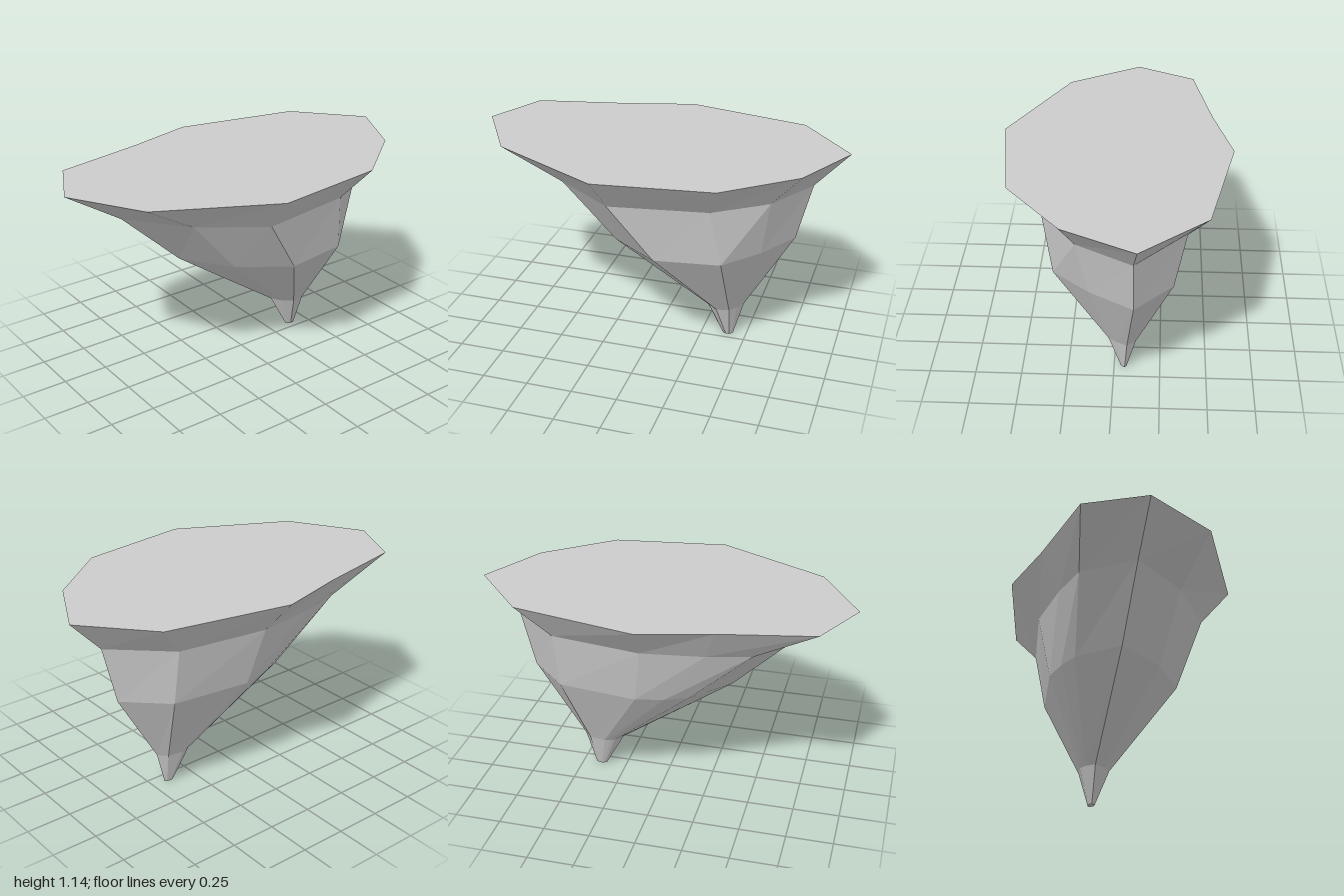
import * as THREE from 'three';

// Outlines as [x, z] corners, all running the same way round the rock
const rim = [[-0.13, -1], [0.24, -0.81], [0.53, -0.45], [0.61, 0.17], [0.30, 0.77],
  [-0.09, 1], [-0.41, 0.84], [-0.51, 0.35], [-0.61, -0.03], [-0.47, -0.70]];
const shoulder = [[-0.11, -0.82], [0.18, -0.65], [0.37, -0.38], [0.45, 0.14], [0.23, 0.46],
  [-0.075, 0.70], [-0.34, 0.51], [-0.40, 0.28], [-0.445, -0.05], [-0.37, -0.54]];
const waist = [[-0.11, -0.74], [0.12, -0.60], [0.315, -0.43], [0.365, -0.08], [0.19, 0.18],
  [-0.07, 0.36], [-0.28, 0.17], [-0.33, 0.05], [-0.365, -0.10], [-0.31, -0.53]];

// The lower outlines shrink the waist towards the off-centre tip
const shrink = (sx, dx, sz, dz) => waist.map(([x, z]) => [x * sx + dx, z * sz + dz]);
const neck = shrink(0.233, -0.045, 0.2, -0.332);
const tip = shrink(0.05, -0.052, 0.055, -0.385);

// Faceted geometry from a list of triangles
function facets(triangles) {
  const geometry = new THREE.BufferGeometry();
  geometry.setAttribute('position', new THREE.Float32BufferAttribute(triangles.flat(2), 3));
  geometry.computeVertexNormals();
  return geometry;
}

const lift = (outline, y) => outline.map(([x, z]) => [x, y, z]);

// Sloping wall between two outlines
function wall(upper, lower) {
  return facets(upper.flatMap((a, i) => {
    const j = (i + 1) % upper.length;
    return [[a, upper[j], lower[j]], [a, lower[j], lower[i]]];
  }));
}

// Flat cap fanned from the middle of an outline
function cap(ring, facesUp) {
  const middle = [0, 1, 2].map((k) => ring.reduce((sum, p) => sum + p[k], 0) / ring.length);
  return facets(ring.map((p, i) => {
    const next = ring[(i + 1) % ring.length];
    return facesUp ? [middle, next, p] : [middle, p, next];
  }));
}

export function createModel() {
  const group = new THREE.Group();
  group.name = 'floatingRock';
  const stone = new THREE.MeshStandardMaterial({ color: 0xcccccc });
  stone.name = 'stone grey';

  const add = (name, geometry) => {
    const mesh = new THREE.Mesh(geometry, stone);
    mesh.name = name;
    group.add(mesh);
  };

  const rings = [lift(rim, 1.14), lift(shoulder, 0.95), lift(waist, 0.63),
    lift(neck, 0.195), lift(tip, 0)];

  // Top plateau, four bands of rock face, and the blunt tip
  add('plateau', cap(rings[0], true));
  ['rimBand', 'upperBand', 'lowerBand', 'tipBand'].forEach((name, i) => {
    add(name, wall(rings[i], rings[i + 1]));
  });
  add('tipEnd', cap(rings[4], false));

  return group;
}
